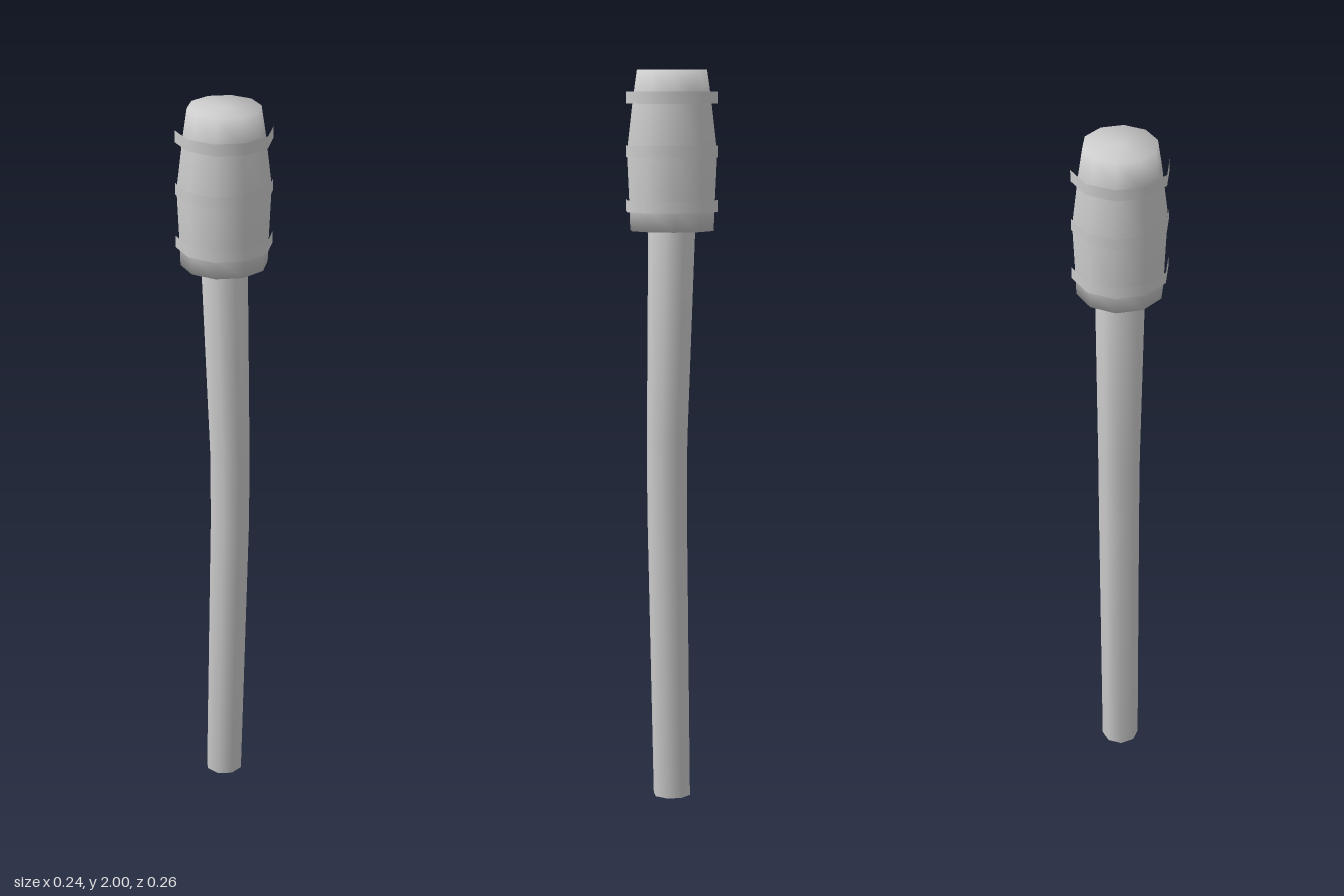
import * as THREE from 'three';

const grey = new THREE.MeshStandardMaterial({ color: 0xcccccc });
grey.name = 'plain grey';

// closed, smooth turned solid from [radius, height] points
function turned(name, profile, sides) {
  const points = profile.map(([r, y]) => new THREE.Vector2(r, y));
  const mesh = new THREE.Mesh(new THREE.LatheGeometry(points, sides), grey);
  mesh.name = name;
  return mesh;
}

export function createModel() {
  const group = new THREE.Group();
  group.name = 'mallet';

  // barrel-shaped ten-sided head
  group.add(turned('head', [
    [0, 1.57], [0.116, 1.57], [0.118, 1.63], [0.125, 1.78], [0.108, 1.925], [0.097, 2], [0, 2],
  ], 10));

  // thin open hoops around the head
  [1.637, 1.783, 1.926].forEach((y, i) => {
    const band = new THREE.Mesh(new THREE.CylinderGeometry(0.128, 0.128, 0.032, 10, 1, true), grey);
    band.name = ['lowerBand', 'middleBand', 'upperBand'][i];
    band.position.y = y;
    group.add(band);
  });

  // handle, slightly bowed along its length
  const handle = turned('handle', [
    [0, 0], [0.052, 0], [0.056, 0.8], [0.057, 1.0], [0.066, 1.6], [0, 1.6],
  ], 8);
  const pos = handle.geometry.attributes.position;
  for (let i = 0; i < pos.count; i++) {
    const y = pos.getY(i);
    const bow = y > 0.5 && y < 1.3 ? 1 : 0;
    pos.setX(i, pos.getX(i) + 0.013 * bow);
    pos.setZ(i, pos.getZ(i) + 0.01 * bow);
  }
  group.add(handle);

  return group;
}
